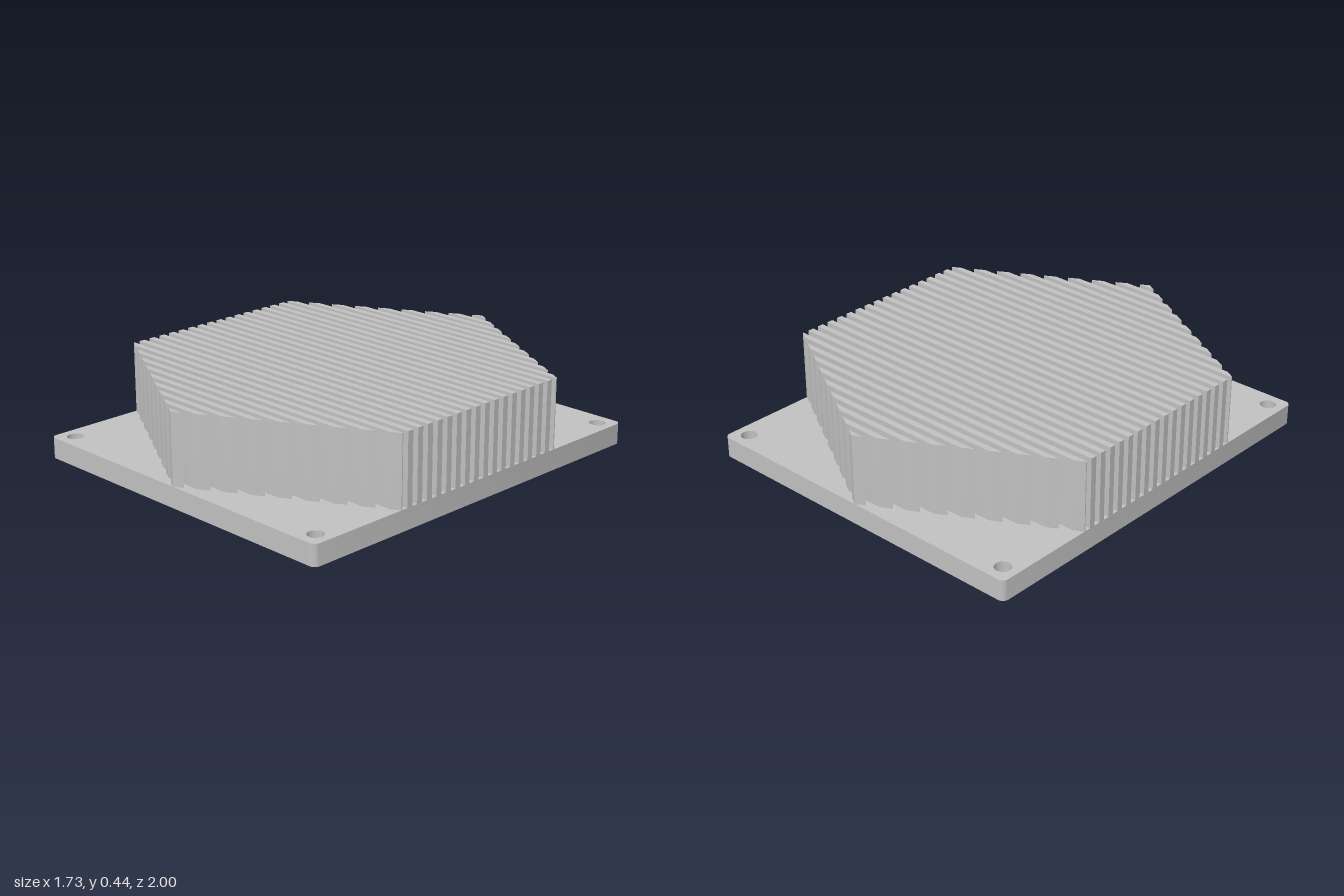
import * as THREE from 'three';
import { toCreasedNormals } from 'three/addons/utils/BufferGeometryUtils.js';

const HALF_W = 0.866, HALF_D = 1, BASE_H = 0.1, TOP = 0.44;
const FIN_COUNT = 34, PITCH = 0.06, FIN_T = 0.03;

// Extrudes a plan outline upwards from y0 to y1
function extrudeUp(shape, y0, y1) {
  const geo = new THREE.ExtrudeGeometry(shape, { depth: y1 - y0, bevelEnabled: false, curveSegments: 10 });
  geo.rotateX(-Math.PI / 2);
  geo.translate(0, y0, 0);
  return toCreasedNormals(geo, 0.7);
}

// Rectangular plate with rounded corners and four screw holes
function plateShape() {
  const r = 0.03, w = HALF_W, d = HALF_D;
  const s = new THREE.Shape();
  s.absarc(w - r, d - r, r, 0, Math.PI / 2);
  s.absarc(-w + r, d - r, r, Math.PI / 2, Math.PI);
  s.absarc(-w + r, -d + r, r, Math.PI, Math.PI * 1.5);
  s.absarc(w - r, -d + r, r, Math.PI * 1.5, Math.PI * 2);
  s.closePath();
  for (const x of [-0.79, 0.79]) {
    for (const z of [-0.92, 0.92]) {
      s.holes.push(new THREE.Path().absarc(x, z, 0.038, 0, Math.PI * 2, true));
    }
  }
  return s;
}

// Half width of the hexagonal fin field at depth z
const halfWidth = (z) => Math.min(HALF_W, (HALF_D - Math.abs(z)) * Math.sqrt(3));

// Strip of the hexagon between two depths
function finShape(z0, z1) {
  const zs = [z0, z1];
  for (const c of [-0.5, 0.5]) if (c > z0 && c < z1) zs.splice(1, 0, c);
  const right = zs.map((z) => new THREE.Vector2(halfWidth(z), z));
  const left = zs.map((z) => new THREE.Vector2(-halfWidth(z), z)).reverse();
  // the outermost fins end in a single point
  const pts = [...right, ...left].filter((p, i, a) => i === 0 || p.distanceTo(a[i - 1]) > 1e-5);
  if (pts[0].distanceTo(pts[pts.length - 1]) < 1e-5) pts.pop();
  return new THREE.Shape(pts);
}

export function createModel() {
  const model = new THREE.Group();
  model.name = 'heatSink';
  const metal = new THREE.MeshStandardMaterial({ color: 0xc0c0c0 });
  metal.name = 'aluminium';

  const base = new THREE.Mesh(extrudeUp(plateShape(), 0, BASE_H), metal);
  base.name = 'basePlate';
  model.add(base);

  // Row of upright fins trimmed to a hexagon
  const fins = new THREE.Group();
  fins.name = 'fins';
  for (let i = 0; i < FIN_COUNT; i++) {
    const zc = (i - (FIN_COUNT - 1) / 2) * PITCH;
    const z0 = Math.max(-HALF_D, zc - FIN_T / 2);
    const z1 = Math.min(HALF_D, zc + FIN_T / 2);
    const fin = new THREE.Mesh(extrudeUp(finShape(z0, z1), BASE_H, TOP), metal);
    fin.name = 'fin' + (i + 1);
    fins.add(fin);
  }
  model.add(fins);
  return model;
}
